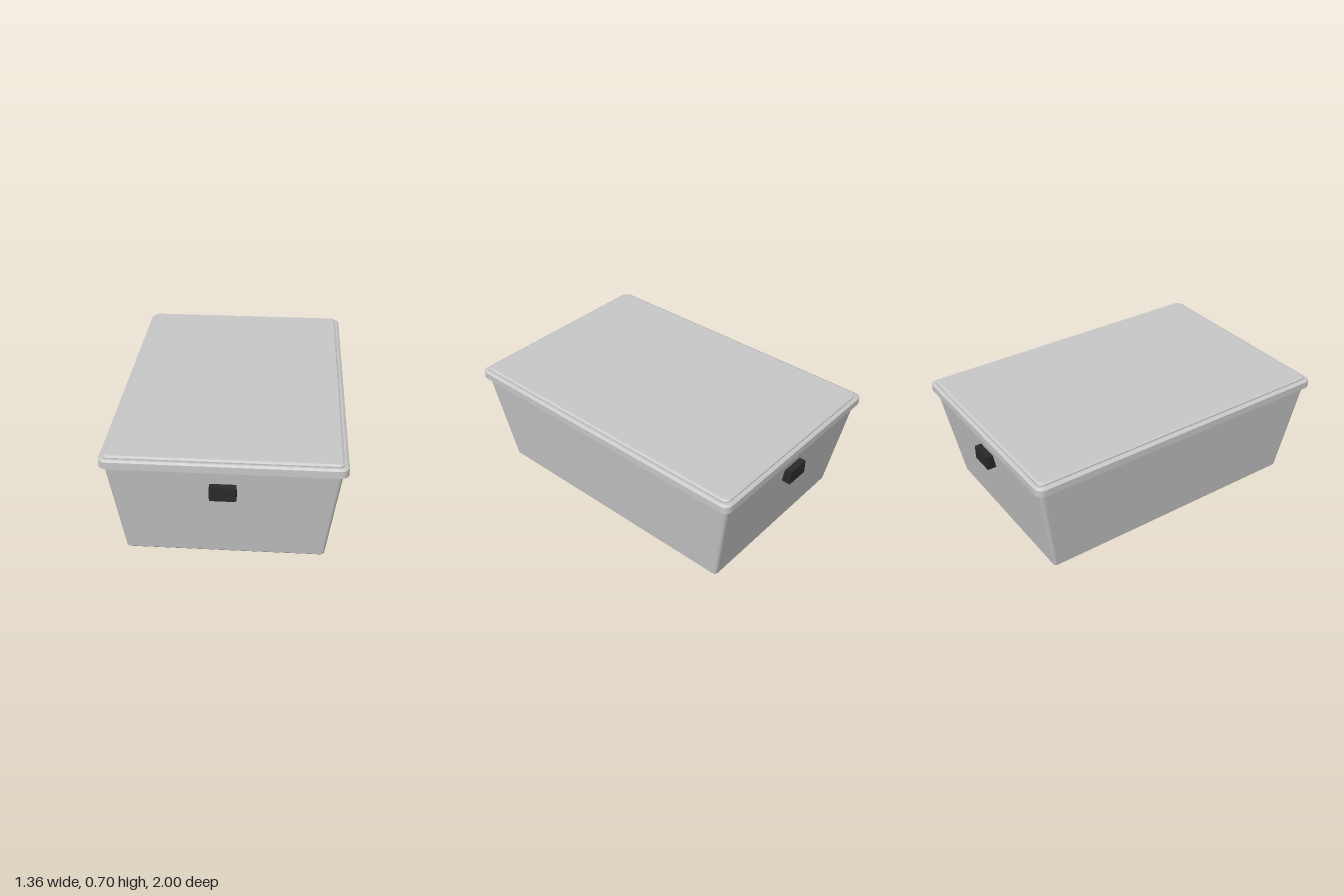
import * as THREE from 'three';

const CORNER_STEPS = 4;

// Rounded rectangle ring at height y: half sizes hx, hz and corner radius r
function ring([y, hx, hz, r]) {
  const points = [];
  const corners = [[1, 1], [-1, 1], [-1, -1], [1, -1]];
  corners.forEach(([sx, sz], k) => {
    for (let i = 0; i <= CORNER_STEPS; i++) {
      const a = (k + i / CORNER_STEPS) * Math.PI / 2;
      points.push([sx * (hx - r) + r * Math.cos(a), y, sz * (hz - r) + r * Math.sin(a)]);
    }
  });
  return points;
}

// Closed flat-shaded solid through a stack of rings, from bottom to top
function loft(sections) {
  const rings = sections.map(ring);
  const n = rings[0].length;
  const last = rings.length - 1;
  const pos = [];
  const tri = (a, b, c) => pos.push(...a, ...b, ...c);
  for (let i = 0; i < n; i++) {
    const j = (i + 1) % n;
    for (let s = 0; s < last; s++) {
      const lo = rings[s], hi = rings[s + 1];
      tri(lo[i], hi[i], lo[j]);
      tri(lo[j], hi[i], hi[j]);
    }
    tri([0, sections[0][0], 0], rings[0][i], rings[0][j]);
    tri([0, sections[last][0], 0], rings[last][j], rings[last][i]);
  }
  const geometry = new THREE.BufferGeometry();
  geometry.setAttribute('position', new THREE.Float32BufferAttribute(pos, 3));
  geometry.computeVertexNormals();
  return geometry;
}

export function createModel() {
  const model = new THREE.Group();
  model.name = 'storageBox';

  const greyPlastic = new THREE.MeshStandardMaterial({ color: 0xc8c8c8 });
  greyPlastic.name = 'greyPlastic';
  const darkPlastic = new THREE.MeshStandardMaterial({ color: 0x2a2a2a });
  darkPlastic.name = 'darkPlastic';

  const add = (name, geometry, material) => {
    const mesh = new THREE.Mesh(geometry, material);
    mesh.name = name;
    model.add(mesh);
    return mesh;
  };

  // Tapered tub with a small bevel round the base
  add('tub', loft([
    [0, 0.57, 0.86, 0.015],
    [0.01, 0.58, 0.87, 0.02],
    [0.635, 0.652, 0.975, 0.025],
  ]), greyPlastic);

  // Lid: bevelled rim with a slightly raised top panel
  add('lidRim', loft([
    [0.622, 0.655, 0.975, 0.03],
    [0.632, 0.68, 0.998, 0.045],
    [0.675, 0.68, 0.998, 0.045],
    [0.684, 0.665, 0.985, 0.035],
  ]), greyPlastic);
  add('lidPanel', loft([
    [0.68, 0.654, 0.975, 0.03],
    [0.692, 0.654, 0.975, 0.03],
    [0.7, 0.642, 0.962, 0.025],
  ]), greyPlastic);

  // Block handles at both ends
  for (const [name, side] of [['frontHandle', 1], ['backHandle', -1]]) {
    add(name, new THREE.BoxGeometry(0.15, 0.086, 0.08), darkPlastic)
      .position.set(0, 0.495, side * 0.96);
  }

  return model;
}
